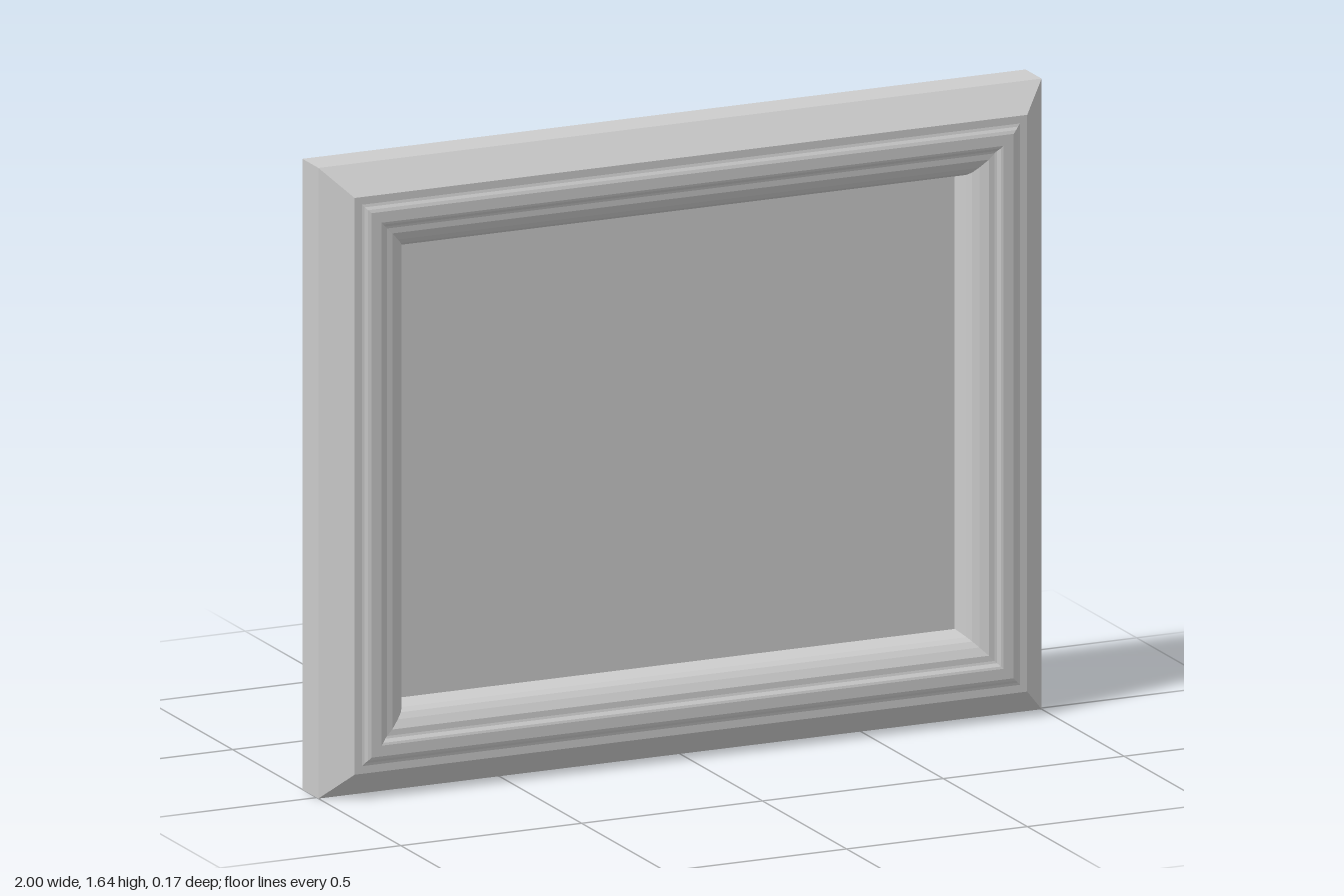
import * as THREE from 'three';

const HALF_W = 1, HEIGHT = 1.64, HALF_H = HEIGHT / 2;
const BACK_Z = -0.085, PANEL_Z = -0.012, PANEL_INSET = 0.23;

// Mitred rectangular moulding; the profile lists [inset from the outer edge, z], outside to inside
function mouldingGeometry(profile) {
  const positions = [];
  const corners = [[-1, -1], [1, -1], [1, 1], [-1, 1]];
  const point = ([inset, z], [sx, sy]) =>
    [sx * (HALF_W - inset), HALF_H + sy * (HALF_H - inset), z];
  for (let k = 0; k < profile.length - 1; k++) {
    for (let j = 0; j < 4; j++) {
      const next = corners[(j + 1) % 4];
      const a = point(profile[k], corners[j]), b = point(profile[k], next);
      const c = point(profile[k + 1], next), d = point(profile[k + 1], corners[j]);
      positions.push(...a, ...b, ...c, ...a, ...c, ...d);
    }
  }
  const geometry = new THREE.BufferGeometry();
  geometry.setAttribute('position', new THREE.Float32BufferAttribute(positions, 3));
  geometry.computeVertexNormals();
  return geometry;
}

export function createModel() {
  const group = new THREE.Group();
  group.name = 'pictureFrame';
  const grey = new THREE.MeshStandardMaterial({ color: 0xcccccc });
  grey.name = 'light grey';

  const add = (name, geometry) => {
    const mesh = new THREE.Mesh(geometry, grey);
    mesh.name = name;
    group.add(mesh);
    return mesh;
  };

  // Straight outer sides and the wide outer bevel
  add('outerSides', mouldingGeometry([[0, BACK_Z], [0, 0.01]]));
  add('outerBevel', mouldingGeometry([[0, 0.01], [0.07, 0.075]]));

  // Low raised band running round the face of the frame
  add('raisedBand', mouldingGeometry([
    [0.07, 0.075], [0.09, 0.075], [0.097, 0.077], [0.104, 0.082], [0.112, 0.085],
    [0.14, 0.085], [0.146, 0.083], [0.154, 0.076], [0.16, 0.074], [0.175, 0.073],
  ]));

  // Rounded inner slope dropping to the panel
  add('innerSlope', mouldingGeometry([
    [0.175, 0.073], [0.196, 0.061], [0.21, 0.049], [0.219, 0.034],
    [0.224, 0.016], [PANEL_INSET, PANEL_Z],
  ]));

  // Recessed front panel
  const panel = add('panel',
    new THREE.PlaneGeometry(2 * (HALF_W - PANEL_INSET), HEIGHT - 2 * PANEL_INSET));
  panel.position.set(0, HALF_H, PANEL_Z);

  // Flat back
  const back = add('back', new THREE.PlaneGeometry(2 * HALF_W, HEIGHT));
  back.rotation.y = Math.PI;
  back.position.set(0, HALF_H, BACK_Z);

  return group;
}
